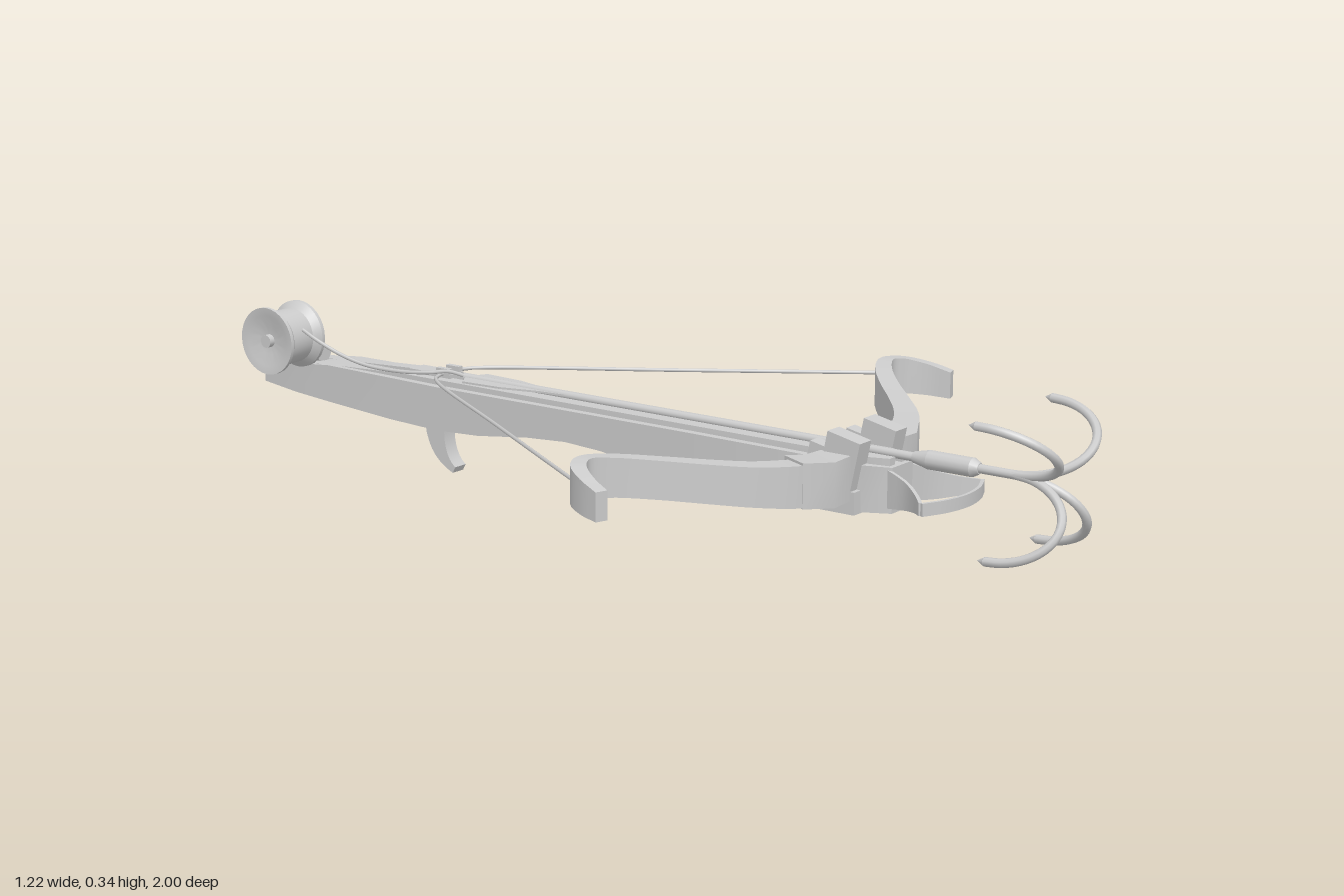
import * as THREE from 'three';
import { toCreasedNormals } from 'three/addons/utils/BufferGeometryUtils.js';

const material = new THREE.MeshStandardMaterial({ color: 0xcccccc });
const V = (x, y, z) => new THREE.Vector3(x, y, z);

function add(parent, name, geometry, x = 0, y = 0, z = 0) {
  const mesh = new THREE.Mesh(geometry, material);
  mesh.name = name;
  mesh.position.set(x, y, z);
  parent.add(mesh);
  return mesh;
}

// Skin a row of convex rings, capped at both ends and wound outwards
function loft(rings) {
  const tris = [], n = rings[0].length;
  for (let i = 0; i + 1 < rings.length; i++) {
    const a = rings[i], b = rings[i + 1];
    for (let j = 0; j < n; j++) {
      const k = (j + 1) % n;
      tris.push([a[j], a[k], b[k]], [a[j], b[k], b[j]]);
    }
  }
  const first = rings[0], last = rings[rings.length - 1];
  for (let j = 1; j + 1 < n; j++) {
    tris.push([first[0], first[j + 1], first[j]], [last[0], last[j], last[j + 1]]);
  }
  const origin = first[0];
  let volume = 0;
  for (const [a, b, c] of tris) {
    const p = a.clone().sub(origin), q = b.clone().sub(origin), r = c.clone().sub(origin);
    volume += p.dot(q.cross(r));
  }
  const points = tris.flatMap(([a, b, c]) => (volume < 0 ? [a, c, b] : [a, b, c]));
  return toCreasedNormals(new THREE.BufferGeometry().setFromPoints(points), 0.6);
}

// Upright strip along a plan curve; rows are [x, z, bottom, top, thickness]
function strip(rows, steps, side = 1) {
  const path = new THREE.CatmullRomCurve3(rows.map(r => V(r[0] * side, 0, r[1])));
  const size = new THREE.CatmullRomCurve3(rows.map(r => V(r[2], r[3], r[4])));
  const rings = [];
  for (let i = 0; i <= steps; i++) {
    const p = path.getPoint(i / steps), t = path.getTangent(i / steps), s = size.getPoint(i / steps);
    const nx = -t.z * s.z / 2, nz = t.x * s.z / 2;
    rings.push([
      V(p.x + nx, s.x, p.z + nz), V(p.x + nx, s.y, p.z + nz),
      V(p.x - nx, s.y, p.z - nz), V(p.x - nx, s.x, p.z - nz),
    ]);
  }
  return loft(rings);
}

function tube(points, radius, steps = 32, sides = 8) {
  return new THREE.TubeGeometry(new THREE.CatmullRomCurve3(points, false, 'centripetal'), steps, radius, sides);
}

// Rod along z
function rod(parent, name, z0, z1, r0, r1, y) {
  const geometry = new THREE.CylinderGeometry(r1, r0, z1 - z0, 12).rotateX(Math.PI / 2);
  return add(parent, name, geometry, 0, y, (z0 + z1) / 2);
}

export function createModel() {
  const model = new THREE.Group();
  model.name = 'grappleCrossbow';

  // Stock: rows of [z, half width, bottom, top]
  const stock = [
    [0.62, 0.036, 0.1, 0.19], [0.57, 0.06, 0.1, 0.192], [0.16, 0.06, 0.1, 0.194],
    [0.06, 0.06, 0.107, 0.194], [-0.06, 0.06, 0.123, 0.194], [-0.15, 0.06, 0.128, 0.194],
    [-0.25, 0.06, 0.122, 0.194], [-0.38, 0.06, 0.106, 0.194], [-0.49, 0.06, 0.101, 0.194],
    [-0.62, 0.059, 0.106, 0.196], [-0.8, 0.053, 0.117, 0.197], [-0.9, 0.049, 0.124, 0.188],
    [-1, 0.037, 0.132, 0.173],
  ];
  add(model, 'stock', loft(stock.map(([z, w, b, t]) => [V(-w, b, z), V(w, b, z), V(w, t, z), V(-w, t, z)])));

  // Raised rails either side of the bolt channel
  for (const s of [-1, 1]) {
    add(model, 'rail', loft([[0.61, 0.03], [0.57, 0.043], [-0.6, 0.043], [-0.88, 0.04]].map(([z, w], i) => {
      const top = i === 3 ? 0.192 : 0.205;
      return [V(s * 0.011, 0.18, z), V(s * w, 0.18, z), V(s * w, top, z), V(s * 0.011, top, z)];
    })));
  }

  // Bow: limbs, sockets and clamps
  const limb = [
    [0.12, 0.515, 0.13, 0.208, 0.06], [0.19, 0.503, 0.132, 0.214, 0.055],
    [0.26, 0.462, 0.141, 0.219, 0.048], [0.32, 0.408, 0.151, 0.227, 0.042],
    [0.39, 0.338, 0.163, 0.238, 0.038], [0.46, 0.28, 0.173, 0.249, 0.034],
    [0.515, 0.256, 0.177, 0.254, 0.03], [0.555, 0.272, 0.176, 0.25, 0.03],
    [0.585, 0.315, 0.172, 0.238, 0.028], [0.6, 0.36, 0.168, 0.224, 0.026],
  ];
  const socket = [[0.07, 0.52, 0.125, 0.213, 0.07], [0.135, 0.522, 0.125, 0.214, 0.08], [0.187, 0.497, 0.13, 0.219, 0.07]];
  for (const s of [-1, 1]) {
    add(model, 'bowLimb', strip(limb, 36, s));
    add(model, 'limbSocket', strip(socket, 2, s));
    const clamp = add(model, 'limbClamp', new THREE.BoxGeometry(0.04, 0.12, 0.075), s * 0.063, 0.188, 0.527);
    clamp.rotation.x = 0.21;
    const band = add(model, 'clampBand', new THREE.BoxGeometry(0.03, 0.085, 0.11), s * 0.063, 0.175, 0.505);
    band.rotation.x = 0.21;
  }
  add(model, 'bowMount', new THREE.BoxGeometry(0.165, 0.045, 0.11), 0, 0.12, 0.51);

  // Foot stirrup: two flared legs and a bowed bar
  const leg = [[0.033, 0.6, 0.108, 0.188, 0.007], [0.052, 0.66, 0.117, 0.173, 0.007], [0.08, 0.7, 0.125, 0.162, 0.007], [0.108, 0.728, 0.13, 0.155, 0.007]];
  for (const s of [-1, 1]) add(model, 'stirrupLeg', strip(leg, 10, s));
  add(model, 'stirrupBar', strip([-0.11, -0.06, 0, 0.06, 0.11].map(x => [x, 0.763 - 2.6 * x * x, 0.13, 0.155, 0.007]), 14));

  // Trigger lever
  const lever = new THREE.Shape();
  lever.moveTo(-0.505, 0.12);
  lever.quadraticCurveTo(-0.515, 0.04, -0.478, 0.014);
  lever.lineTo(-0.485, 0.001);
  lever.quadraticCurveTo(-0.56, 0.03, -0.56, 0.12);
  const leverGeometry = new THREE.ExtrudeGeometry(lever, { depth: 0.034, bevelEnabled: false, curveSegments: 8 });
  leverGeometry.rotateY(-Math.PI / 2).translate(0.017, 0, 0);
  add(model, 'trigger', toCreasedNormals(leverGeometry, 0.6));

  // String catch
  add(model, 'catchBase', new THREE.BoxGeometry(0.044, 0.012, 0.11), 0, 0.207, -0.54);
  for (const s of [-1, 1]) {
    add(model, 'catchJaw', new THREE.BoxGeometry(0.012, 0.026, 0.035), s * 0.016, 0.212, -0.505);
  }

  // Bowstring
  const half = [V(0.54, 0.216, 0.245), V(0.3, 0.214, -0.13), V(0.085, 0.213, -0.465), V(0.05, 0.213, -0.498)];
  const string = [...half, V(0, 0.213, -0.508), ...half.slice().reverse().map(p => V(-p.x, p.y, p.z))];
  add(model, 'bowstring', tube(string, 0.004, 60, 6));

  // Grapple bolt
  const bolt = new THREE.Group();
  bolt.name = 'grappleBolt';
  model.add(bolt);
  rod(bolt, 'boltShaft', -0.46, 0.89, 0.009, 0.009, 0.208);
  rod(bolt, 'boltCollar', 0.68, 0.775, 0.019, 0.019, 0.208);
  rod(bolt, 'collarRear', 0.645, 0.68, 0.011, 0.019, 0.208);
  rod(bolt, 'collarFront', 0.775, 0.79, 0.019, 0.011, 0.208);

  // Flat fletching
  const vane = new THREE.Shape([[0.005, 0.16], [0.014, 0.25], [0.036, 0.34], [0.042, 0.435], [0.005, 0.455]].map(p => new THREE.Vector2(...p)));
  for (const s of [-1, 1]) {
    const fin = new THREE.ExtrudeGeometry(vane, { depth: 0.004, bevelEnabled: false }).rotateX(-Math.PI / 2);
    if (s < 0) fin.rotateZ(Math.PI);
    add(bolt, 'fletching', fin, 0, 0.207 + (s < 0 ? 0.004 : 0), 0);
  }

  // Four hooks curling back from the head
  for (const [dx, dy] of [[0.138, 0.12], [-0.138, 0.12], [0.095, -0.146], [-0.095, -0.146]]) {
    const points = [];
    for (let i = 0; i <= 12; i++) {
      const t = Math.PI * i / 12, r = (1 - Math.cos(t)) / 2;
      points.push(V(dx * r, 0.208 + dy * r, 0.86 + 0.131 * Math.sin(t)));
    }
    add(bolt, 'hook', tube(points, 0.009, 28, 8));
    const tip = new THREE.Mesh(new THREE.ConeGeometry(0.009, 0.016, 8).rotateX(-Math.PI / 2), material);
    tip.name = 'hookTip';
    tip.position.set(dx, 0.208 + dy, 0.853);
    bolt.add(tip);
  }

  // Line reel on a side arm
  const reel = new THREE.Group();
  reel.name = 'lineReel';
  reel.position.set(-0.12, 0.262, -0.865);
  model.add(reel);
  const profile = [
    [0, -0.042], [0.03, -0.042], [0.055, -0.05], [0.072, -0.052], [0.072, -0.044], [0.06, -0.03],
    [0.058, 0.03], [0.072, 0.044], [0.072, 0.052], [0.055, 0.05], [0.03, 0.042], [0, 0.042],
  ].map(p => new THREE.Vector2(...p));
  const spool = new THREE.LatheGeometry(profile, 32).rotateZ(-Math.PI / 2);
  add(reel, 'spool', toCreasedNormals(spool, 0.5));
  add(reel, 'spoolHub', new THREE.CylinderGeometry(0.014, 0.014, 0.11, 12).rotateZ(Math.PI / 2));
  const arm = add(model, 'reelArm', new THREE.BoxGeometry(0.1, 0.03, 0.032), -0.035, 0.221, -0.868);
  arm.rotation.z = -0.55;

  // Line running from the reel to the bolt tail
  add(model, 'line', tube([
    V(-0.118, 0.285, -0.81), V(-0.116, 0.268, -0.775), V(-0.1, 0.24, -0.72), V(-0.085, 0.222, -0.66),
    V(-0.075, 0.219, -0.57), V(-0.055, 0.222, -0.51), V(-0.025, 0.222, -0.485), V(0, 0.21, -0.455),
  ], 0.004, 48, 6));

  return model;
}
